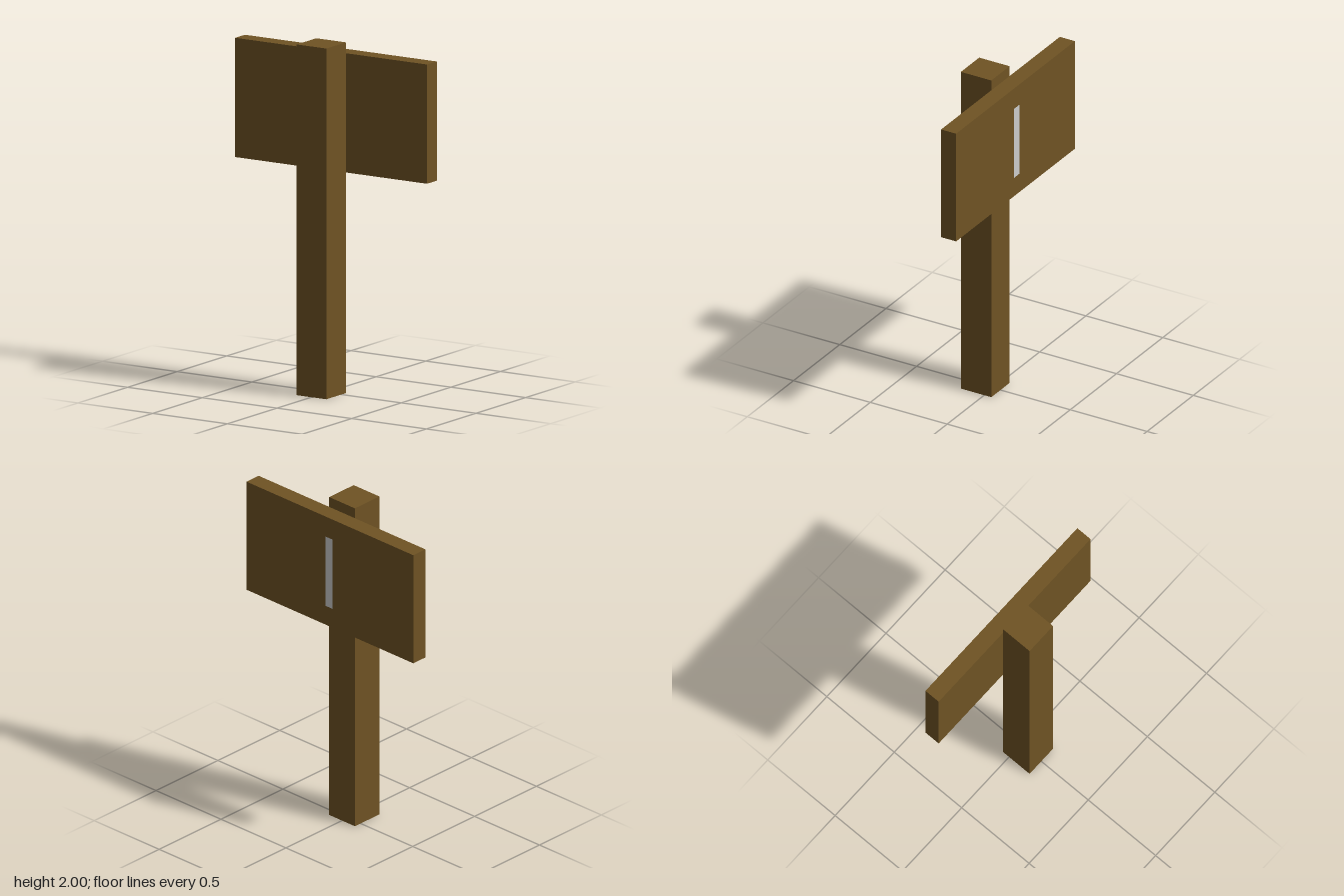
import * as THREE from 'three';

export function createModel() {
  const group = new THREE.Group();
  const wood = new THREE.MeshStandardMaterial({ color: 0x6f5324, flatShading: true });
  const grey = new THREE.MeshStandardMaterial({ color: 0xcccccc, side: THREE.DoubleSide });

  const add = (name, geometry, material, x, y, z) => {
    const mesh = new THREE.Mesh(geometry, material);
    mesh.name = name;
    mesh.position.set(x, y, z);
    group.add(mesh);
    return mesh;
  };

  // Square upright post
  add('post', new THREE.BoxGeometry(0.198, 2, 0.198), wood, 0, 1, 0.053);

  // Sign board fixed to the back of the post
  add('signBoard', new THREE.BoxGeometry(1.284, 0.68, 0.098), wood, 0, 1.598, -0.095);

  // Thin upright strip floating just off the back face of the board
  const strip = add('signStrip', new THREE.PlaneGeometry(0.055, 0.436), grey, 0, 1.6, -0.152);
  strip.rotation.y = Math.PI;

  return group;
}
